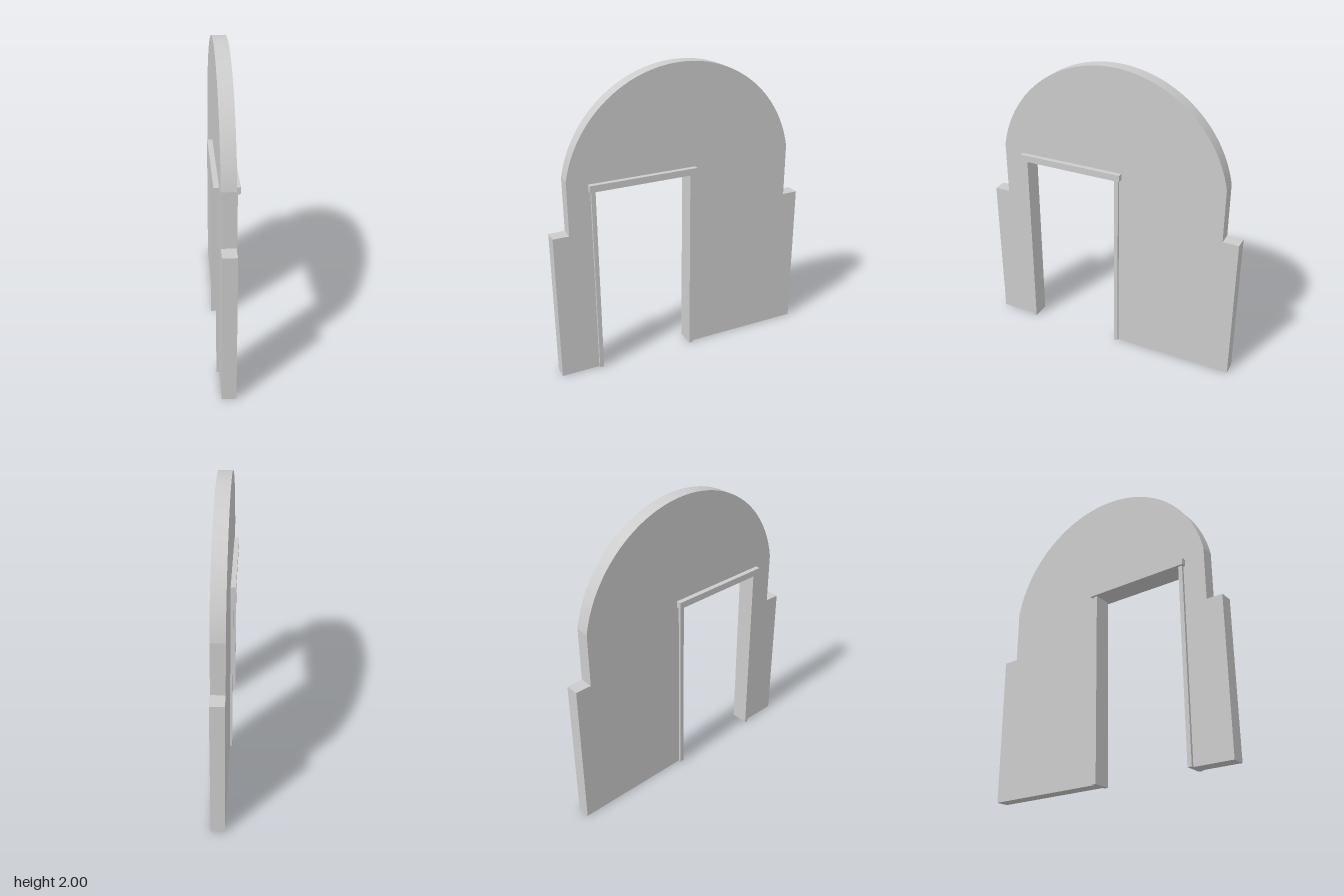
import * as THREE from 'three';
import { toCreasedNormals } from 'three/addons/utils/BufferGeometryUtils.js';

export function createModel() {
  const group = new THREE.Group();
  const material = new THREE.MeshStandardMaterial({ color: 0xcccccc });
  const add = (name, geometry) => {
    const mesh = new THREE.Mesh(geometry, material);
    mesh.name = name;
    group.add(mesh);
  };

  // Box given by its full depth in x and its ranges in y and z
  const box = (name, depth, y0, y1, z0, z1) => {
    const g = new THREE.BoxGeometry(depth, y1 - y0, z1 - z0);
    g.translate(0, (y0 + y1) / 2, (z0 + z1) / 2);
    add(name, g);
  };

  // Door frame dimensions
  const doorFront = 0.6, doorBack = -0.043, jamb = 0.028;
  const lintelBottom = 1.273, lintelTop = 1.317;

  // Arched wall outline, drawn with shape x running along model z
  const outer = 0.883, inner = 0.777, shoulder = 1.0, spring = 1.355, top = 2;
  const rise = top - spring;
  const radius = (inner * inner + rise * rise) / (2 * rise);
  const centreY = top - radius;
  const start = Math.asin((spring - centreY) / radius);
  const wall = new THREE.Shape();
  wall.moveTo(doorBack, 0);
  wall.lineTo(doorBack, lintelBottom);
  wall.lineTo(doorFront, lintelBottom);
  wall.lineTo(doorFront, 0);
  wall.lineTo(outer, 0);
  wall.lineTo(outer, shoulder);
  wall.lineTo(inner, shoulder);
  wall.lineTo(inner, spring);
  wall.absarc(0, centreY, radius, start, Math.PI - start, false);
  wall.lineTo(-inner, shoulder);
  wall.lineTo(-outer, shoulder);
  wall.lineTo(-outer, 0);
  wall.closePath();

  const thickness = 0.09;
  const wallGeometry = new THREE.ExtrudeGeometry(wall, {
    depth: thickness, bevelEnabled: false, curveSegments: 40,
  });
  wallGeometry.translate(0, 0, -thickness / 2);
  wallGeometry.rotateY(-Math.PI / 2);
  add('archedWall', toCreasedNormals(wallGeometry, 0.15));

  // Door frame: two posts and a wider lintel, standing proud of both faces
  box('frontJamb', 0.124, 0, lintelBottom, doorFront, doorFront + jamb);
  box('backJamb', 0.124, 0, lintelBottom, doorBack - jamb, doorBack);
  box('lintel', 0.156, lintelBottom, lintelTop, -0.086, 0.64);

  return group;
}
